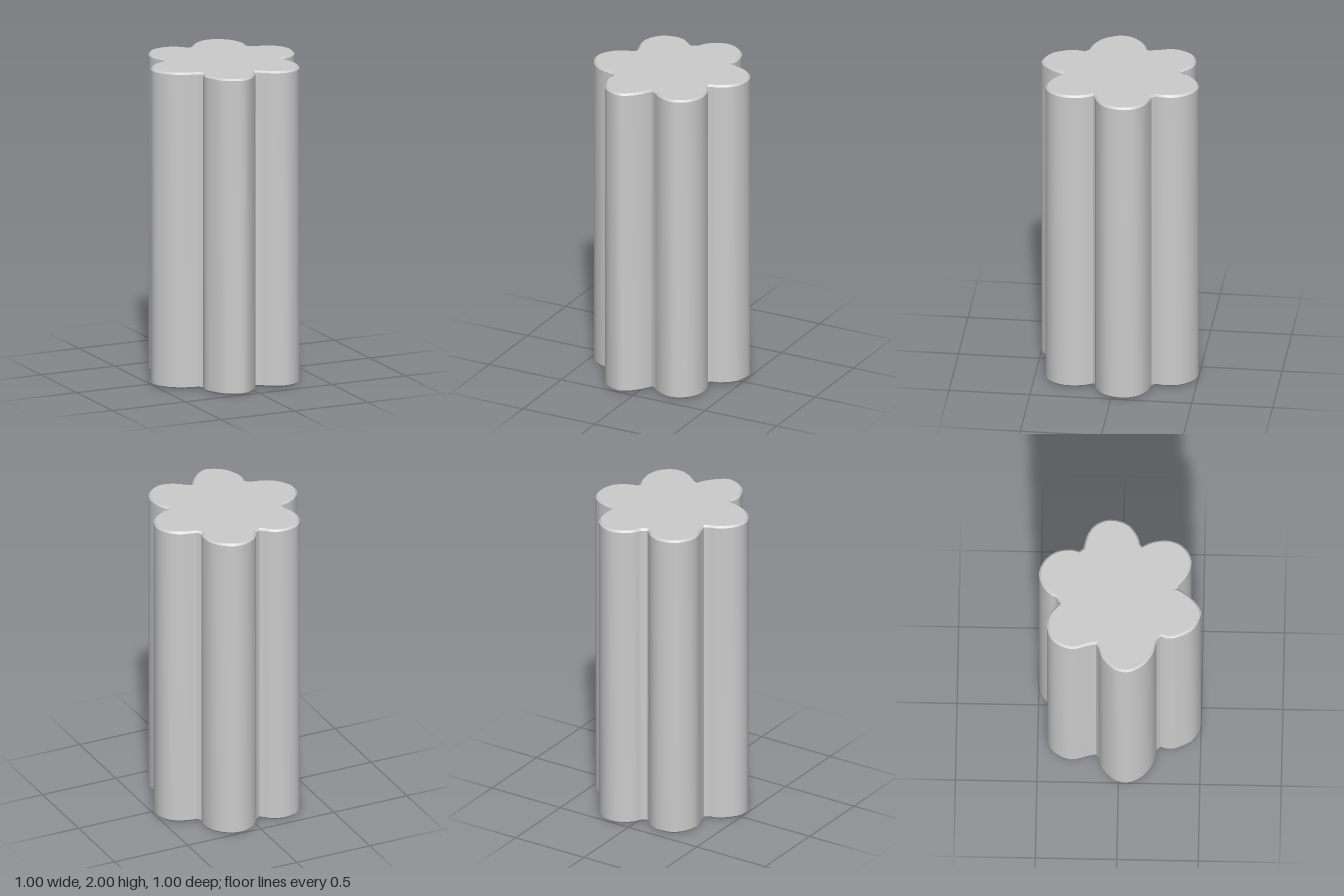
import * as THREE from 'three';
import { toCreasedNormals } from 'three/addons/utils/BufferGeometryUtils.js';

const HEIGHT = 2;
const BEVEL = 0.012;

// Each lobe runs from one groove to the next as x, z pairs
const LOBES = [
  [-0.055, -0.37, -0.02, -0.39, 0.0, -0.43, 0.06, -0.48, 0.14, -0.5, 0.22, -0.47, 0.28, -0.4, 0.297, -0.31, 0.285, -0.255],
  [0.305, -0.23, 0.4, -0.205, 0.465, -0.155, 0.495, -0.08, 0.485, 0.0, 0.45, 0.06, 0.38, 0.105, 0.34, 0.115],
  [0.325, 0.13, 0.355, 0.19, 0.368, 0.28, 0.345, 0.36, 0.29, 0.415, 0.22, 0.435, 0.14, 0.41, 0.075, 0.36],
  [0.05, 0.35, 0.02, 0.405, -0.04, 0.47, -0.11, 0.5, -0.21, 0.455, -0.26, 0.37, -0.275, 0.31, -0.262, 0.255],
  [-0.285, 0.23, -0.37, 0.21, -0.44, 0.165, -0.485, 0.1, -0.5, 0.04, -0.48, -0.03, -0.41, -0.1, -0.34, -0.125],
  [-0.32, -0.14, -0.33, -0.19, -0.355, -0.28, -0.335, -0.36, -0.28, -0.425, -0.19, -0.445, -0.12, -0.425, -0.075, -0.385],
];

// Smooth curve along one lobe; the grooves between lobes stay sharp
function lobePoints(values) {
  const points = [];
  for (let i = 0; i < values.length; i += 2) {
    points.push(new THREE.Vector2(values[i], -values[i + 1]));
  }
  return new THREE.SplineCurve(points).getPoints(20);
}

export function createModel() {
  const group = new THREE.Group();
  group.name = 'lobedColumn';

  // Straight column with a fine bevel at both ends
  const outline = new THREE.Shape(LOBES.flatMap(lobePoints));
  const geometry = new THREE.ExtrudeGeometry(outline, {
    depth: HEIGHT - 2 * BEVEL,
    bevelEnabled: true,
    bevelThickness: BEVEL,
    bevelSize: BEVEL,
    bevelOffset: -BEVEL,
    bevelSegments: 1,
  });
  geometry.rotateX(-Math.PI / 2);
  geometry.translate(0, BEVEL, 0);

  const column = new THREE.Mesh(
    toCreasedNormals(geometry, THREE.MathUtils.degToRad(30)),
    new THREE.MeshStandardMaterial({ color: 0xcccccc })
  );
  column.name = 'column';
  group.add(column);
  return group;
}
